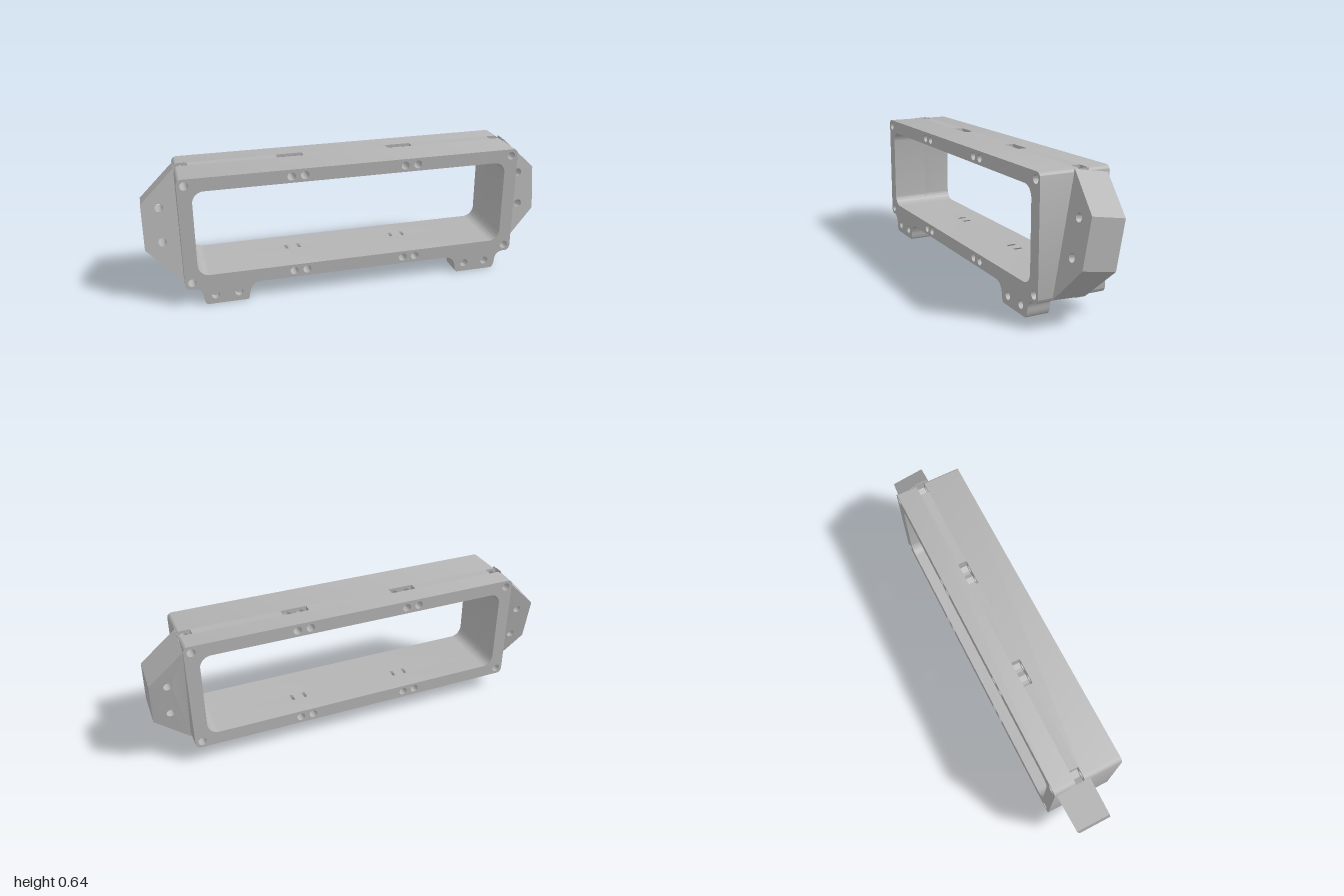
import * as THREE from 'three';
import { toCreasedNormals } from 'three/addons/utils/BufferGeometryUtils.js';

const W = 0.835, TOP = 0.645, BOTTOM = 0.09, BACK = -0.167, FRONT = 0.167;
const MID = (TOP + BOTTOM) / 2;
const IN_X = 0.77, IN_TOP = 0.58, IN_R = 0.055;
const NUT = 0.032, HOLE_R = 0.02;
const SLOT_BACK = -0.062, SLOT_FRONT = -0.019;
const HOLES = [0.246, 0.31, 0.801];

function roundedRect(path, x, y0, y1, r) {
  path.moveTo(-x + r, y0);
  path.lineTo(x - r, y0);
  path.absarc(x - r, y0 + r, r, -Math.PI / 2, 0);
  path.absarc(x - r, y1 - r, r, 0, Math.PI / 2);
  path.absarc(-x + r, y1 - r, r, Math.PI / 2, Math.PI);
  path.absarc(-x + r, y0 + r, r, Math.PI, Math.PI * 1.5);
  return path;
}

function drill(shape, x, y, r = HOLE_R) {
  shape.holes.push(new THREE.Path().absarc(x, y, r, 0, Math.PI * 2));
}

function extrude(shape, z0, z1) {
  const g = new THREE.ExtrudeGeometry(shape, { depth: z1 - z0, bevelEnabled: false, curveSegments: 10 });
  return g.translate(0, 0, z0);
}

const polygon = (pts) => new THREE.Shape(pts.map(([x, y]) => new THREE.Vector2(x, y)));

export function createModel() {
  const model = new THREE.Group();
  model.name = 'mountingFrame';
  const grey = new THREE.MeshStandardMaterial({ color: 0xb4b4b4 });
  grey.name = 'grey';

  function add(parent, name, geometry) {
    const mesh = new THREE.Mesh(toCreasedNormals(geometry, 0.6), grey);
    mesh.name = name;
    parent.add(mesh);
  }

  // Front and back of the frame: rounded rectangles with window and bolt holes
  const frame = new THREE.Group();
  frame.name = 'frame';
  model.add(frame);
  const ring = roundedRect(new THREE.Shape(), W, BOTTOM, TOP, 0.025);
  ring.holes.push(roundedRect(new THREE.Path(), IN_X, 2 * MID - IN_TOP, IN_TOP, IN_R));
  for (const s of [-1, 1]) {
    for (const x of HOLES) {
      drill(ring, s * x, 0.612);
      drill(ring, s * x, 2 * MID - 0.612);
    }
  }
  add(frame, 'frameFront', extrude(ring, SLOT_FRONT, FRONT));
  add(frame, 'frameBack', extrude(ring, BACK, SLOT_BACK));

  // Middle of the frame, cut by pointed nut slots that just break into the window
  const SHOULDER = 0.594, SLIT = 0.008;
  const [a, b, c] = HOLES;
  const flip = (pts) => pts.map(([x, y]) => [x, 2 * MID - y]);
  const centre = [
    [-a + SLIT, IN_TOP], [-a + NUT, SHOULDER], [-a + NUT, TOP],
    [a - NUT, TOP], [a - NUT, SHOULDER], [a - SLIT, IN_TOP],
  ];
  const tooth = [[a + SLIT, IN_TOP], [a + NUT, SHOULDER], [b - SLIT, IN_TOP]];
  const fillet = [];
  for (let i = 0; i <= 8; i++) {
    const t = (i / 8) * Math.PI / 2;
    fillet.push([IN_X - IN_R + IN_R * Math.cos(t), IN_TOP - IN_R + IN_R * Math.sin(t)]);
  }
  const upperEnd = [
    ...fillet, [b + SLIT, IN_TOP], [b + NUT, SHOULDER], [b + NUT, TOP],
    [c - NUT, TOP], [c - NUT, SHOULDER], [c, 0.575], [c + NUT, SHOULDER], [c + NUT, TOP], [W, TOP],
  ];
  const end = [...upperEnd, ...flip(upperEnd).reverse()];
  for (const pts of [centre, flip(centre)]) {
    add(frame, 'frameMiddleBar', extrude(polygon(pts), SLOT_BACK, SLOT_FRONT));
  }
  for (const s of [-1, 1]) {
    const side = (pts) => polygon(pts.map(([x, y]) => [s * x, y]));
    add(frame, 'frameMiddleEnd', extrude(side(end), SLOT_BACK, SLOT_FRONT));
    add(frame, 'slotTooth', extrude(side(tooth), SLOT_BACK, SLOT_FRONT));
    add(frame, 'slotTooth', extrude(side(flip(tooth)), SLOT_BACK, SLOT_FRONT));
  }

  // Feet: flared lugs under the front, with two bolt holes and nut slots from below
  const FOOT_HOLES = [0.583, 0.696], FOOT_Y = 0.046;
  function footShape(s, slotted) {
    const f = new THREE.Shape();
    f.moveTo(s * 0.8, BOTTOM);
    f.quadraticCurveTo(s * 0.757, 0.088, s * 0.753, 0.045);
    f.quadraticCurveTo(s * 0.75, 0, s * 0.732, 0);
    if (slotted) {
      for (const x of [...FOOT_HOLES].reverse()) {
        const slot = [[NUT, 0], [NUT, FOOT_Y + 0.018], [0, FOOT_Y + 0.037], [-NUT, FOOT_Y + 0.018], [-NUT, 0]];
        for (const [dx, y] of slot) f.lineTo(s * (x + dx), y);
      }
    }
    f.lineTo(s * 0.545, 0);
    f.quadraticCurveTo(s * 0.535, 0, s * 0.532, 0.03);
    f.quadraticCurveTo(s * 0.525, 0.088, s * 0.475, BOTTOM);
    if (!slotted) for (const x of FOOT_HOLES) drill(f, s * x, FOOT_Y);
    return f;
  }

  // Wings: leaning trapezoid ears on both ends, drilled square to their faces
  const LEAN = Math.atan(0.169), k = 1 / Math.cos(LEAN);
  for (const s of [-1, 1]) {
    const sideName = s > 0 ? 'left' : 'right';
    const foot = new THREE.Group();
    foot.name = sideName + 'Foot';
    model.add(foot);
    add(foot, 'footFront', extrude(footShape(s, false), 0.133, FRONT));
    add(foot, 'footMiddle', extrude(footShape(s, true), 0.09, 0.133));
    add(foot, 'footBack', extrude(footShape(s, false), 0.056, 0.09));

    const profile = [[0.832, TOP], [W, TOP], [1, 0.49], [1, 0.272], [W, 0.1], [0.832, 0.1]];
    const wing = polygon(profile.map(([x, y]) => [s * x, y * k]));
    for (const y of [0.467, 0.303]) drill(wing, s * 0.917, y * k);
    const g = extrude(wing, -0.165, 0).rotateX(-LEAN).translate(0, 0, 0.114);
    // Trim the wing level with the frame's underside
    const p = g.attributes.position;
    for (let i = 0; i < p.count; i++) p.setY(i, Math.max(p.getY(i), BOTTOM));
    add(model, sideName + 'Wing', g);
  }
  return model;
}
